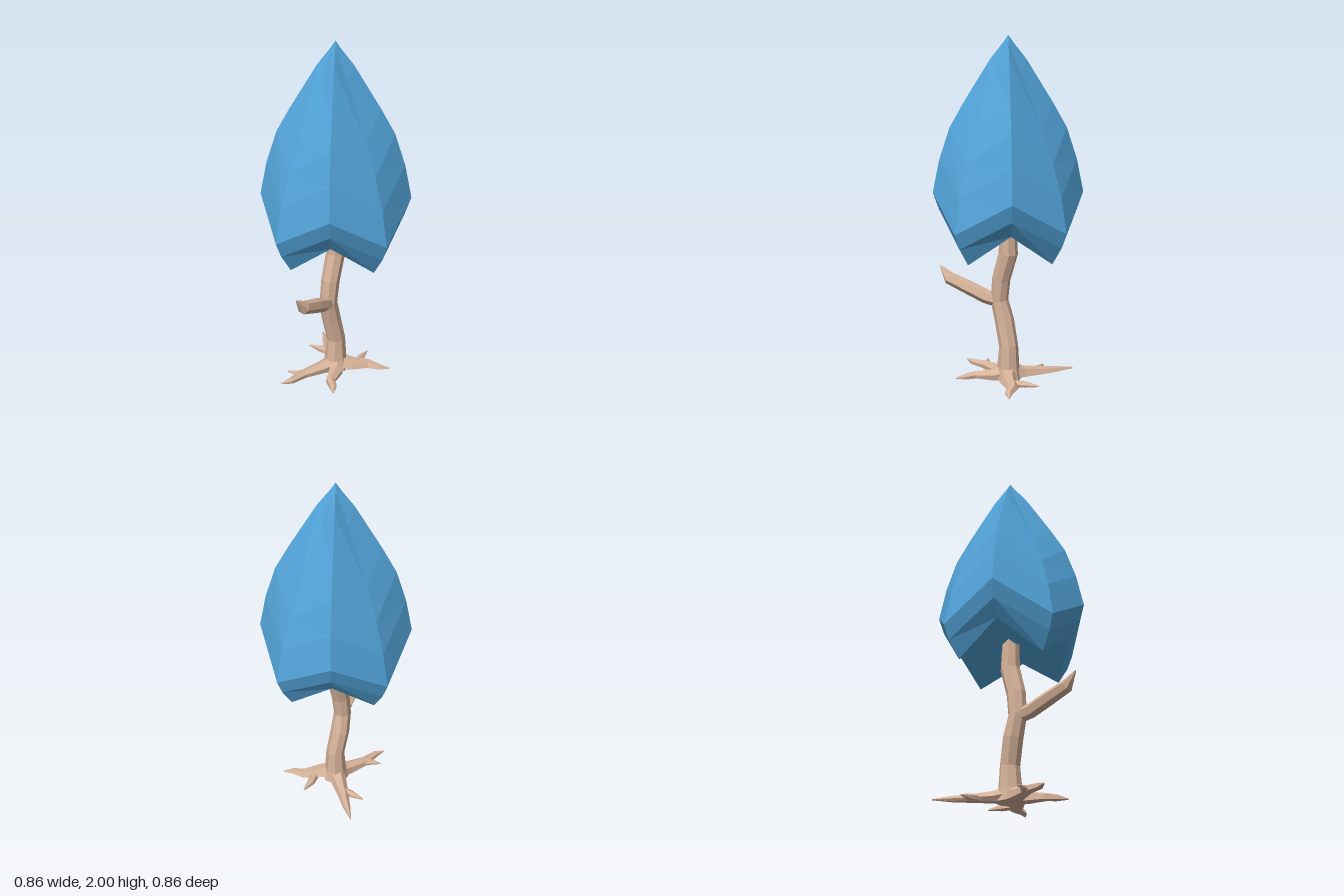
import * as THREE from 'three';

const bark = new THREE.MeshStandardMaterial({ color: 0xd6b299, flatShading: true });
const leaf = new THREE.MeshStandardMaterial({ color: 0x52a3d8, flatShading: true });

// Joins equal-length rings of points into a closed flat-shaded skin
function loft(rings, material, name) {
  const n = rings[0].length, pos = [], index = [];
  rings.forEach((ring) => ring.forEach((p) => pos.push(p.x, p.y, p.z)));
  for (let i = 0; i < rings.length - 1; i++) {
    for (let j = 0; j < n; j++) {
      const a = i * n + j, b = i * n + ((j + 1) % n);
      index.push(a, b, a + n, b, b + n, a + n);
    }
  }
  const indexed = new THREE.BufferGeometry();
  indexed.setAttribute('position', new THREE.Float32BufferAttribute(pos, 3));
  indexed.setIndex(index);
  const geometry = indexed.toNonIndexed();
  geometry.computeVertexNormals();
  const mesh = new THREE.Mesh(geometry, material);
  mesh.name = name;
  return mesh;
}

// Faceted limb along [x, y, z, radius] stations, cut off flat at the ground
function limb(name, stations, sides) {
  const centres = stations.map(([x, y, z]) => new THREE.Vector3(x, y, z));
  const last = centres.length - 1;
  const turn = new THREE.Quaternion();
  let previous = new THREE.Vector3(0, 1, 0);
  const rings = centres.map((c, i) => {
    const tangent = centres[Math.min(i + 1, last)].clone().sub(centres[Math.max(i - 1, 0)]).normalize();
    turn.premultiply(new THREE.Quaternion().setFromUnitVectors(previous, tangent));
    previous = tangent;
    return Array.from({ length: sides }, (_, j) => {
      const a = (j / sides) * Math.PI * 2;
      const p = new THREE.Vector3(Math.sin(a), 0, Math.cos(a))
        .multiplyScalar(stations[i][3]).applyQuaternion(turn).add(c);
      p.y = Math.max(p.y, 0);
      return p;
    });
  });
  // close both ends
  rings.unshift(rings[0].map(() => centres[0].clone().setY(Math.max(centres[0].y, 0))));
  rings.push(rings[rings.length - 1].map(() => centres[last].clone()));
  return loft(rings, bark, name);
}

// Eight-sided canopy: the diagonal ribs hang lower than the axis ribs
function canopy() {
  // radius, height of axis ribs, height of diagonal ribs
  const profile = [
    [0, 0.93, 0.93], [0.33, 0.93, 0.75], [0.395, 1.02, 0.85], [0.43, 1.12, 0.935],
    [0.39, 1.31, 1.13], [0.33, 1.49, 1.31], [0.25, 1.63, 1.49],
    [0.1, 1.87, 1.79], [0.028, 1.96, 1.945], [0, 2, 2],
  ];
  const rings = profile.map(([r, axisY, diagonalY]) => Array.from({ length: 8 }, (_, j) => {
    const a = (j * Math.PI) / 4;
    return new THREE.Vector3(Math.sin(a) * r, j % 2 ? diagonalY : axisY, Math.cos(a) * r);
  }));
  return loft(rings, leaf, 'canopy');
}

export function createModel() {
  const tree = new THREE.Group();
  tree.name = 'tree';
  tree.add(canopy());

  // Crooked trunk
  tree.add(limb('trunk', [
    [0, 0, 0, 0.08], [0, 0.07, 0, 0.066], [0.002, 0.2, -0.002, 0.056], [-0.025, 0.35, 0.022, 0.057],
    [-0.038, 0.47, 0.05, 0.052], [-0.027, 0.6, 0.04, 0.054], [0, 0.76, 0, 0.056], [0, 0.96, 0.003, 0.048],
  ], 8));

  // Broken side branch with a slanted tip
  tree.add(limb('branch', [
    [-0.035, 0.46, 0.04, 0.04], [-0.06, 0.485, 0.13, 0.042], [-0.095, 0.525, 0.22, 0.042],
    [-0.15, 0.575, 0.345, 0.038], [-0.185, 0.645, 0.4, 0.003],
  ], 6));

  // Spreading roots with small forks
  const roots = new THREE.Group();
  roots.name = 'roots';
  const paths = [
    [[0, 0.03, 0, 0.06], [-0.08, 0.015, 0.06, 0.045], [-0.18, 0.01, 0.13, 0.032], [-0.25, 0.01, 0.21, 0.02], [-0.3, 0.01, 0.24, 0.004]],
    [[-0.15, 0.01, 0.11, 0.025], [-0.22, 0.01, 0.125, 0.02], [-0.28, 0.015, 0.11, 0.004]],
    [[0, 0.03, 0, 0.06], [0.01, 0.015, 0.09, 0.045], [-0.015, 0.01, 0.19, 0.03], [0.005, 0.01, 0.25, 0.023], [0.012, 0.005, 0.31, 0.004]],
    [[0, 0.03, 0, 0.065], [0.1, 0.015, 0.005, 0.05], [0.2, 0.008, -0.015, 0.035], [0.27, 0.005, 0.01, 0.022], [0.33, 0.003, 0.01, 0.004]],
    [[0.13, 0.01, -0.01, 0.03], [0.15, 0.01, -0.09, 0.023], [0.185, 0.015, -0.165, 0.005]],
    [[0, 0.03, 0, 0.06], [-0.03, 0.015, -0.09, 0.045], [-0.06, 0.01, -0.19, 0.033], [-0.085, 0.01, -0.29, 0.023], [-0.115, 0.012, -0.395, 0.004]],
    [[-0.05, 0.01, -0.15, 0.028], [-0.11, 0.01, -0.18, 0.022], [-0.18, 0.01, -0.22, 0.005]],
  ];
  paths.forEach((path, i) => roots.add(limb('root' + (i + 1), path, 6)));
  tree.add(roots);
  return tree;
}
